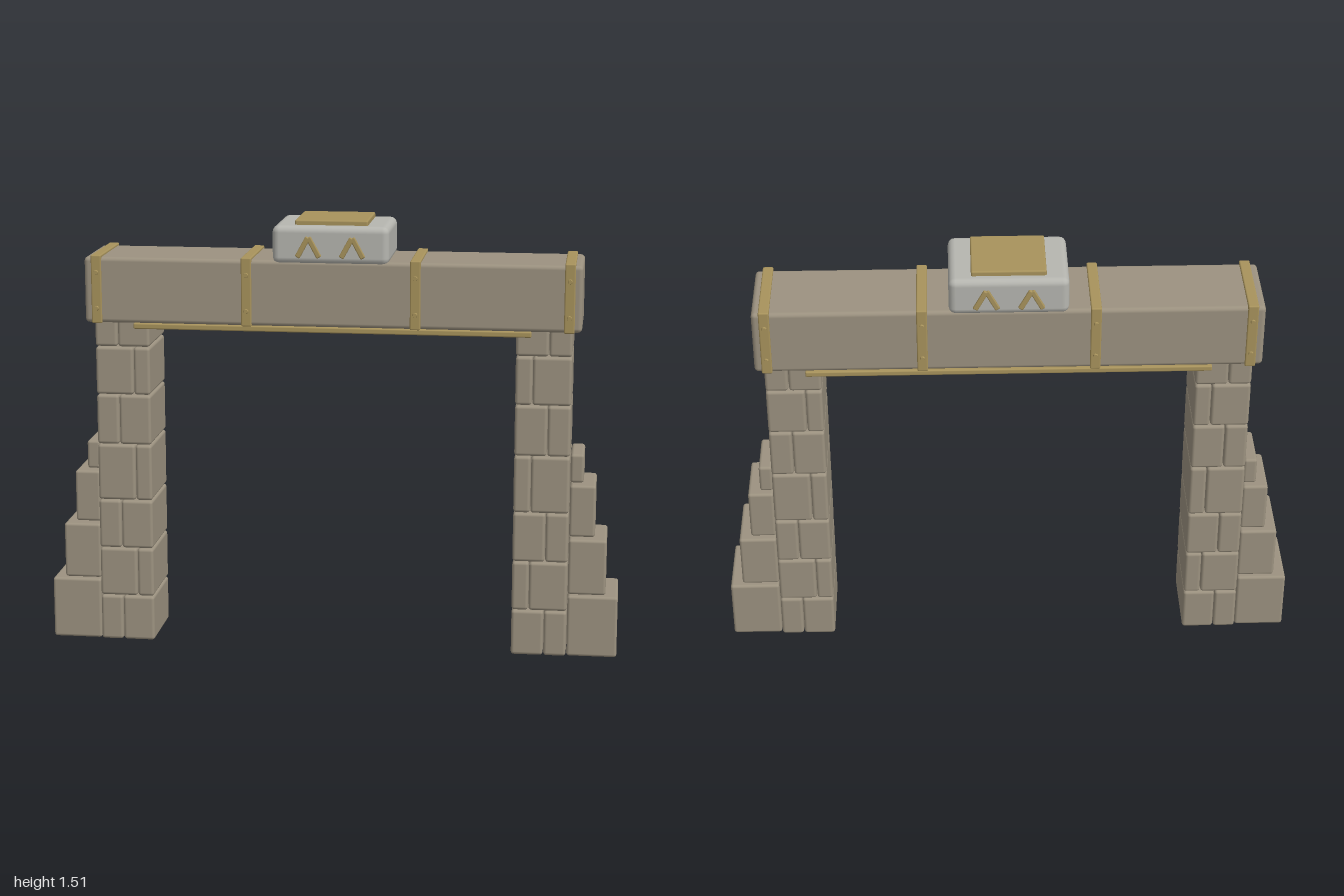
import * as THREE from 'three';
import { RoundedBoxGeometry } from 'three/addons/geometries/RoundedBoxGeometry.js';

const material = (name, color) => {
  const m = new THREE.MeshStandardMaterial({ color });
  m.name = name;
  return m;
};

export function createModel() {
  const stone = material('weathered stone', 0x9c9280);
  const paleStone = material('pale stone', 0xb6b6b0);
  const bronze = material('aged bronze', 0xa8935c);

  const model = new THREE.Group();
  model.name = 'stoneGateway';

  // Bevelled block given by its lower and upper limits on each axis
  function block(parent, name, mat, [x0, x1], [y0, y1], [z0, z1], bevel) {
    const geo = new RoundedBoxGeometry(x1 - x0, y1 - y0, z1 - z0, 2, bevel);
    const mesh = new THREE.Mesh(geo, mat);
    mesh.name = name;
    mesh.position.set((x0 + x1) / 2, (y0 + y1) / 2, (z0 + z1) / 2);
    parent.add(mesh);
    return mesh;
  }
  const span = (side, a, b) => (side > 0 ? [a, b] : [-b, -a]);

  // Piers: courses of two stones with alternating joints
  const courses = [0, 0.163, 0.338, 0.513, 0.714, 0.892, 1.062, 1.165];
  // Stepped buttress stones: outer x, bottom, top, half depth
  const steps = [
    [1.0, 0, 0.218, 0.124],
    [0.957, 0.22, 0.417, 0.112],
    [0.915, 0.425, 0.608, 0.102],
    [0.872, 0.615, 0.715, 0.09],
  ];
  for (const side of [1, -1]) {
    const label = side > 0 ? 'left' : 'right';
    const pier = new THREE.Group();
    pier.name = label + 'Pier';
    for (let i = 0; i < courses.length - 1; i++) {
      const joint = i % 2 ? 0.69 : 0.744;
      const ys = [courses[i] + 0.001, courses[i + 1] - 0.001];
      block(pier, 'innerStone', stone, span(side, 0.633, joint), ys, [-0.134, 0.134], 0.011);
      block(pier, 'outerStone', stone, span(side, joint + 0.002, 0.824), ys, [-0.134, 0.134], 0.011);
    }
    model.add(pier);

    const buttress = new THREE.Group();
    buttress.name = label + 'Buttress';
    for (const [x, y0, y1, z] of steps) {
      block(buttress, 'buttressStone', stone, span(side, 0.826, x), [y0, y1], [-z, z], 0.01);
    }
    model.add(buttress);
  }

  // Lintel beam and the bronze plate under it
  block(model, 'lintel', stone, [-0.855, 0.855], [1.148, 1.377], [-0.145, 0.145], 0.015);
  block(model, 'soffitPlate', bronze, [-0.685, 0.685], [1.13, 1.15], [-0.15, 0.15], 0.005);

  // Bronze bands with rivets on front and back
  const rivetGeo = new THREE.CylinderGeometry(0.007, 0.009, 0.008, 10).rotateX(Math.PI / 2);
  for (const x of [-0.812, -0.29, 0.29, 0.812]) {
    const band = new THREE.Group();
    band.name = 'lintelBand';
    block(band, 'strap', bronze, [x - 0.018, x + 0.018], [1.147, 1.385], [-0.151, 0.151], 0.005);
    for (const dir of [1, -1]) {
      for (const y of [1.2, 1.325]) {
        const rivet = new THREE.Mesh(rivetGeo, bronze);
        rivet.name = 'rivet';
        rivet.position.set(x, y, dir * 0.153);
        if (dir < 0) rivet.rotation.y = Math.PI;
        band.add(rivet);
      }
    }
    model.add(band);
  }

  // Crown block with its cap plate
  block(model, 'crownBlock', paleStone, [-0.2, 0.2], [1.365, 1.497], [-0.151, 0.151], 0.024);
  block(model, 'capPlate', bronze, [-0.125, 0.125], [1.49, 1.514], [-0.118, 0.118], 0.006);

  // Paired chevrons on front and back of the crown block
  for (const dir of [1, -1]) {
    for (const x of [-0.075, 0.075]) {
      const chevron = new THREE.Group();
      chevron.name = 'chevron';
      for (const leg of [1, -1]) {
        const bar = block(chevron, 'chevronBar', bronze,
          [-0.009, 0.009], [-0.039, 0.039], [-0.007, 0.007], 0.004);
        bar.position.x = leg * 0.019;
        bar.rotation.z = leg * 0.5;
      }
      chevron.position.set(x, 1.425, dir * 0.152);
      model.add(chevron);
    }
  }

  return model;
}
